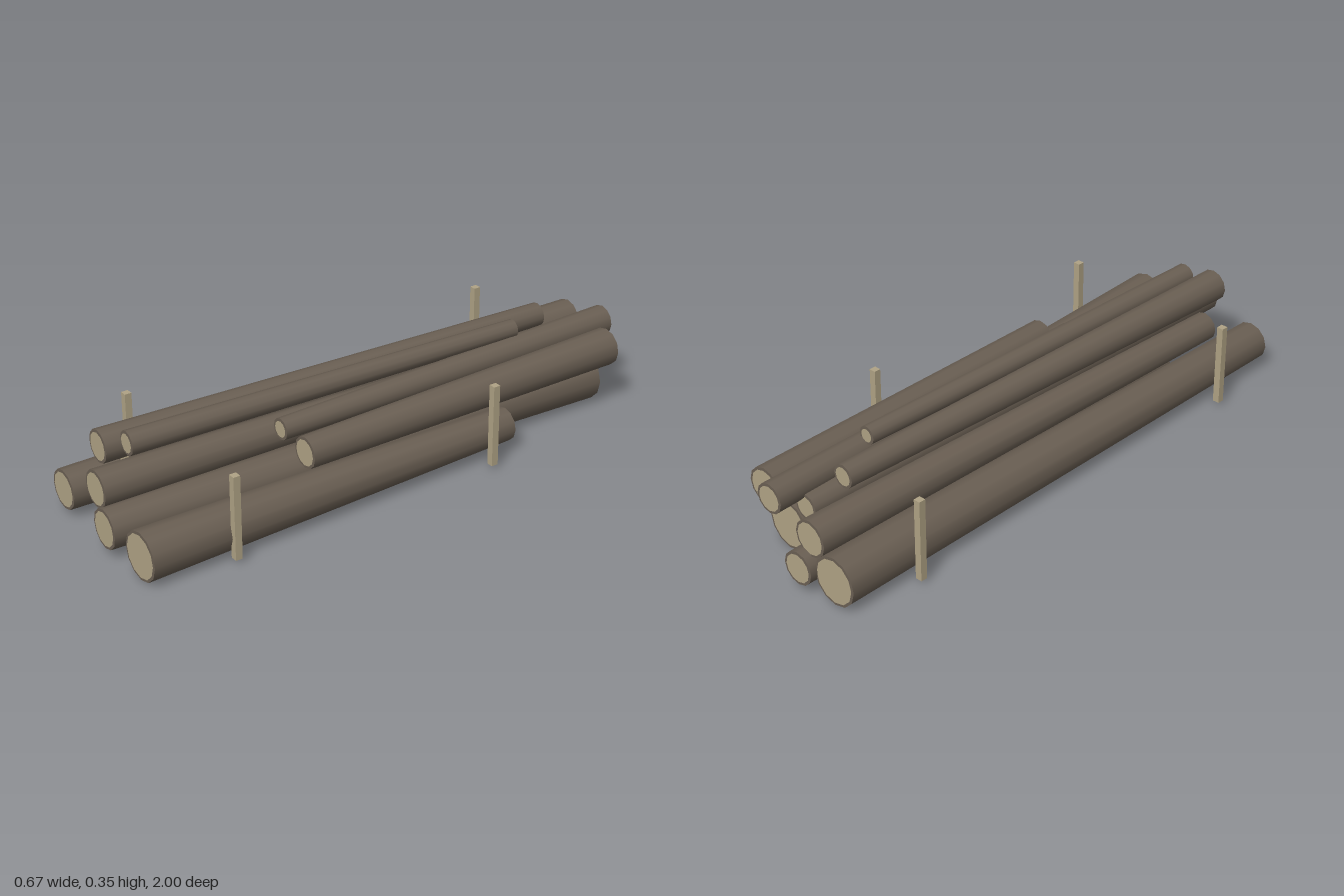
import * as THREE from 'three';

const bark = new THREE.MeshStandardMaterial({ color: 0x6a5f53 });
bark.name = 'bark';
const wood = new THREE.MeshStandardMaterial({ color: 0xb0a385 });
wood.name = 'cutWood';

const SIDES = 12;
const RIM = 0.009; // width of bark left showing around each cut end
const UP = new THREE.Vector3(0, 1, 0);

// tapered log between two end centres, each given as [x, y, z, radius]
function makeLog(name, front, back) {
  const a = new THREE.Vector3(...front.slice(0, 3));
  const b = new THREE.Vector3(...back.slice(0, 3));
  const length = a.distanceTo(b);
  const log = new THREE.Group();
  log.name = name;

  const trunk = new THREE.Mesh(new THREE.CylinderGeometry(front[3], back[3], length, SIDES, 1), bark);
  trunk.name = 'trunk';
  log.add(trunk);

  // pale cut face on each end
  for (const [end, radius, label] of [[1, front[3], 'frontCut'], [-1, back[3], 'backCut']]) {
    const cut = new THREE.Mesh(new THREE.CircleGeometry(radius - RIM, SIDES), wood);
    cut.name = label;
    cut.rotation.x = -end * Math.PI / 2;
    cut.position.y = end * (length / 2 + 0.0015);
    log.add(cut);
  }

  log.position.copy(a).add(b).multiplyScalar(0.5);
  log.quaternion.setFromUnitVectors(UP, a.sub(b).normalize());
  return log;
}

export function createModel() {
  const model = new THREE.Group();
  model.name = 'logPile';

  // logs: front end, back end
  const logs = {
    bottomLogRight: [[-0.227, 0.09, 0.98, 0.068], [-0.227, 0.09, -0.97, 0.085]],
    bottomLogMidRight: [[-0.063, 0.083, 0.65, 0.081], [-0.097, 0.087, -0.998, 0.058]],
    bottomLogMidLeft: [[0.06, 0.092, 0.995, 0.067], [0.09, 0.089, -0.87, 0.087]],
    bottomLogLeft: [[0.25, 0.086, 0.98, 0.083], [0.216, 0.087, -0.42, 0.058]],
    middleLogRight: [[-0.162, 0.197, 0.8, 0.05], [-0.127, 0.195, -0.97, 0.064]],
    middleLogCentre: [[-0.01, 0.194, 0.98, 0.063], [0.005, 0.195, -0.87, 0.046]],
    middleLogLeft: [[0.187, 0.208, 0.35, 0.054], [0.158, 0.213, -0.9, 0.065]],
    upperLogRight: [[-0.095, 0.284, 0.92, 0.056], [-0.056, 0.286, -0.77, 0.041]],
    upperLogLeft: [[0.08, 0.25, 0.37, 0.037], [0.052, 0.253, -0.97, 0.052]],
    topLog: [[-0.013, 0.314, 0.865, 0.041], [0.028, 0.313, -0.595, 0.032]],
  };
  for (const [name, [front, back]] of Object.entries(logs)) model.add(makeLog(name, front, back));

  // upright stakes holding the pile
  const stakeGeometry = new THREE.BoxGeometry(0.024, 0.288, 0.024);
  const stakes = {
    frontRightStake: [-0.325, 0.69],
    backRightStake: [-0.325, -0.71],
    frontLeftStake: [0.324, 0.69],
    backLeftStake: [0.309, -0.3],
  };
  for (const [name, [x, z]] of Object.entries(stakes)) {
    const stake = new THREE.Mesh(stakeGeometry, wood);
    stake.name = name;
    stake.position.set(x, 0.159, z);
    model.add(stake);
  }
  return model;
}
